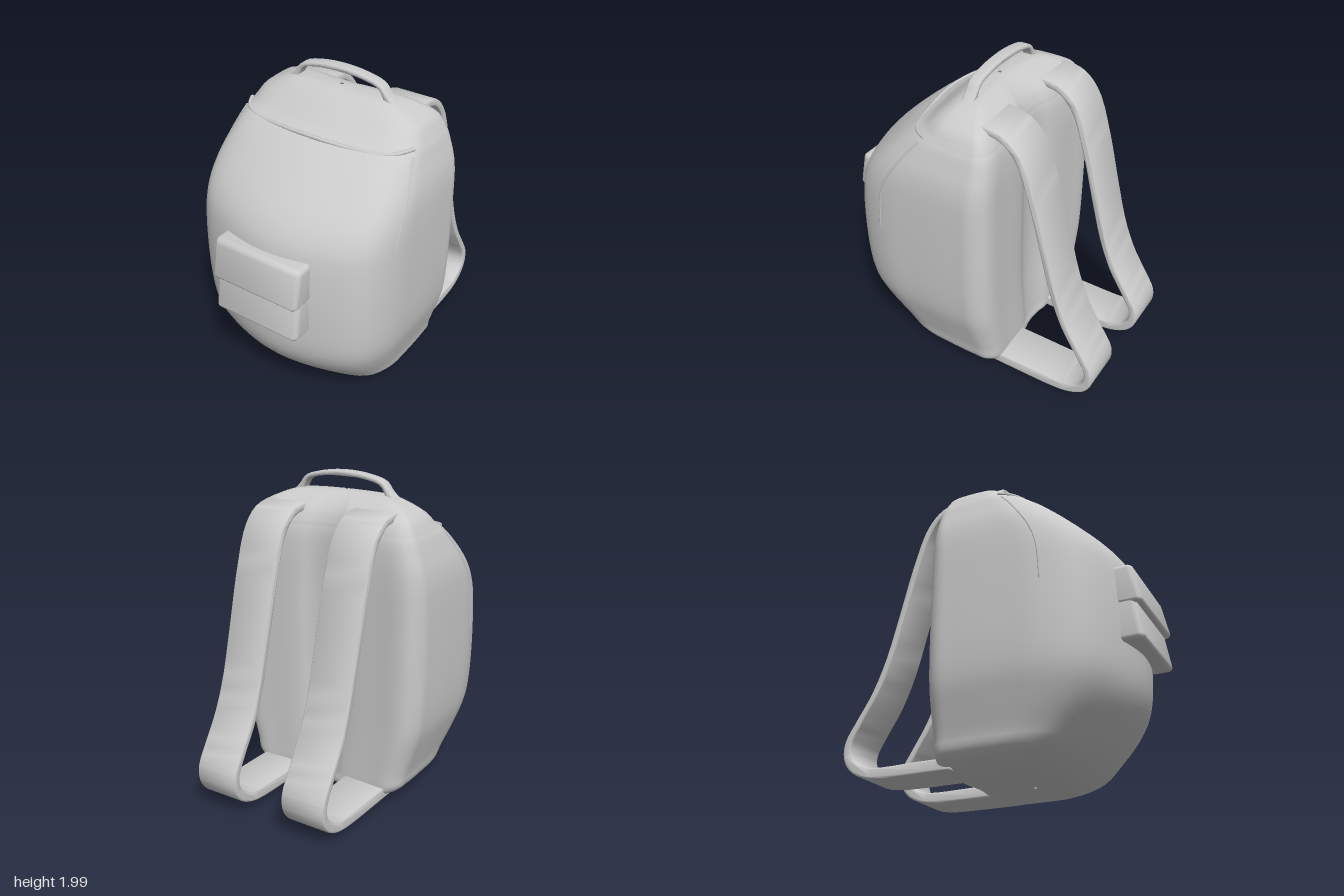
import * as THREE from 'three';
import { toCreasedNormals } from 'three/addons/utils/BufferGeometryUtils.js';
import { RoundedBoxGeometry } from 'three/addons/geometries/RoundedBoxGeometry.js';

const material = new THREE.MeshStandardMaterial({ color: 0xcccccc, side: THREE.DoubleSide });

function part(name, geometry) {
  const mesh = new THREE.Mesh(geometry, material);
  mesh.name = name;
  return mesh;
}

// Body rows from bottom to top: height, half width, front z, back z
const ROWS = [
  [0.012, 0.01, 0.12, 0.10], [0.01, 0.28, 0.28, -0.10], [0.04, 0.42, 0.38, -0.27],
  [0.11, 0.54, 0.50, -0.29], [0.20, 0.565, 0.60, -0.29], [0.35, 0.61, 0.73, -0.29],
  [0.50, 0.65, 0.80, -0.29], [0.70, 0.667, 0.82, -0.29], [0.95, 0.672, 0.82, -0.29],
  [1.18, 0.672, 0.80, -0.29], [1.30, 0.67, 0.76, -0.29], [1.40, 0.665, 0.69, -0.29],
  [1.50, 0.65, 0.59, -0.288], [1.60, 0.62, 0.475, -0.28], [1.66, 0.60, 0.39, -0.27],
  [1.69, 0.585, 0.34, -0.26], [1.72, 0.57, 0.275, -0.25], [1.78, 0.53, 0.20, -0.215],
  [1.84, 0.42, 0.125, -0.14], [1.875, 0.30, 0.06, -0.07], [1.885, 0.01, 0.01, -0.01],
];
const rowSpline = new THREE.CubicInterpolant(ROWS.map((_, i) => i), ROWS.flat(), 4);

// Closed horizontal outline: hollow back, straight sides, bulging front
function outline(t) {
  const [y, w, f, b] = rowSpline.evaluate(t);
  const dent = 0.07 * Math.pow(Math.min(1, w / 0.67), 3);
  const corner = (f - b) * 0.07;
  const half = [
    [0, b + dent], [0.15 * w, b + dent * 0.8], [0.28 * w, b + dent * 0.25], [0.6 * w, b],
    [0.88 * w, b], [0.985 * w, b + corner], [w, b + corner * 2.5], [w, THREE.MathUtils.lerp(b, f, 0.45)],
    [0.975 * w, THREE.MathUtils.lerp(b, f, 0.66)], [0.84 * w, THREE.MathUtils.lerp(b, f, 0.84)],
    [0.45 * w, THREE.MathUtils.lerp(b, f, 0.955)], [0, f],
  ];
  const other = half.slice(1, -1).reverse().map(([x, z]) => [-x, z]);
  return new THREE.CatmullRomCurve3(
    [...half, ...other].map(([x, z]) => new THREE.Vector3(x, y, z)), true);
}

function bodyGeometry() {
  const around = 88, up = (ROWS.length - 1) * 3;
  const position = [], index = [];
  for (let j = 0; j <= up; j++) {
    const curve = outline(j / 3);
    for (let i = 0; i < around; i++) position.push(...curve.getPoint(i / around).toArray());
  }
  for (let j = 0; j < up; j++) {
    for (let i = 0; i < around; i++) {
      const a = j * around + i, b = j * around + (i + 1) % around;
      index.push(a, a + around, b, b, a + around, b + around);
    }
  }
  const g = new THREE.BufferGeometry();
  g.setAttribute('position', new THREE.Float32BufferAttribute(position, 3));
  g.setIndex(index);
  g.computeVertexNormals();
  return g;
}

// Flat band following a 2D centre line [a, b, thickness], extruded to a width
function band(points, width, bevel) {
  const path = new THREE.CatmullRomCurve3(points.map(([a, b, t]) => new THREE.Vector3(a, b, t)));
  const outer = [], inner = [], n = 48;
  for (let i = 0; i <= n; i++) {
    const p = path.getPoint(i / n), d = path.getTangent(i / n);
    const normal = new THREE.Vector2(-d.y, d.x).normalize().multiplyScalar(p.z / 2);
    outer.push(new THREE.Vector2(p.x, p.y).add(normal));
    inner.unshift(new THREE.Vector2(p.x, p.y).sub(normal));
  }
  const g = new THREE.ExtrudeGeometry(new THREE.Shape([...outer, ...inner]), {
    depth: width - 2 * bevel, bevelThickness: bevel, bevelSize: bevel, bevelOffset: -bevel, bevelSegments: 3,
  });
  g.translate(0, 0, bevel - width / 2);
  return toCreasedNormals(g, 0.8);
}

// Rounded pad that leans forward and curves around the front
function pad(width, bottom, top, back, frontBottom, frontTop) {
  const g = new RoundedBoxGeometry(width, top - bottom, 1, 6, 0.03);
  const p = g.attributes.position;
  for (let i = 0; i < p.count; i++) {
    const x = p.getX(i), y = p.getY(i) + (top + bottom) / 2;
    const front = THREE.MathUtils.lerp(frontBottom, frontTop, (y - bottom) / (top - bottom)) - 0.5 * x * x;
    const z = p.getZ(i);
    p.setXYZ(i, x, y, z > 0 ? front - (0.5 - z) : back);
  }
  g.computeVertexNormals();
  return toCreasedNormals(g, 0.8);
}

export function createModel() {
  const model = new THREE.Group();
  model.name = 'backpack';
  model.add(part('body', bodyGeometry()));

  // Front pocket with overlapping flap
  const pocket = new THREE.Group();
  pocket.name = 'frontPocket';
  pocket.add(part('pocketBase', pad(0.59, 0.705, 0.97, 0.74, 0.945, 0.9)));
  pocket.add(part('pocketFlap', pad(0.605, 0.93, 1.18, 0.74, 0.95, 0.895)));
  model.add(pocket);

  // Carry handle
  const arch = [[-0.335, 1.84, 0.07], [-0.305, 1.89, 0.035], [-0.265, 1.94, 0.03], [-0.15, 1.972, 0.03],
    [0, 1.982, 0.034]];
  const mirrored = arch.slice(0, -1).reverse().map(([x, y, t]) => [-x, y, t]);
  const handle = part('carryHandle', band([...arch, ...mirrored], 0.075, 0.012));
  handle.position.z = -0.01;
  model.add(handle);

  // Shoulder straps: distance behind the centre, height, thickness
  const strapLine = [
    [0.14, 1.79, 0.05], [0.23, 1.785, 0.045], [0.32, 1.755, 0.045], [0.41, 1.655, 0.045],
    [0.50, 1.40, 0.045], [0.58, 1.09, 0.045], [0.665, 0.78, 0.045], [0.75, 0.575, 0.045],
    [0.85, 0.41, 0.045], [0.912, 0.295, 0.05], [0.912, 0.21, 0.055], [0.87, 0.143, 0.06],
    [0.785, 0.098, 0.065], [0.68, 0.082, 0.07], [0.45, 0.08, 0.075], [0.20, 0.08, 0.075],
  ];
  const strapGeometry = band(strapLine, 0.29, 0.012).rotateY(Math.PI / 2);
  for (const side of [1, -1]) {
    const strap = part(side > 0 ? 'leftStrap' : 'rightStrap', strapGeometry);
    strap.position.x = side * 0.315;
    model.add(strap);
  }

  // Seams running down the front corners of the sides
  for (const side of [1, -1]) {
    const points = [];
    for (let i = 0; i <= 10; i++) {
      const p = outline(8.2 + i * 0.58).getPoint(8 / 22);
      points.push(new THREE.Vector3(side * (p.x - 0.003), p.y, p.z));
    }
    const tube = new THREE.TubeGeometry(new THREE.CatmullRomCurve3(points), 40, 0.008, 6);
    model.add(part(side > 0 ? 'leftSeam' : 'rightSeam', tube));
  }

  // Edge of the lid across the front
  const lip = [];
  for (let i = 0; i <= 12; i++) {
    const p = outline(15).getPoint((8 + i * 0.5) / 22);
    lip.push(new THREE.Vector3(p.x, p.y + 0.008 * Math.cos(i * Math.PI / 3), p.z - 0.004));
  }
  model.add(part('lidEdge', new THREE.TubeGeometry(new THREE.CatmullRomCurve3(lip), 48, 0.012, 8)));
  return model;
}
